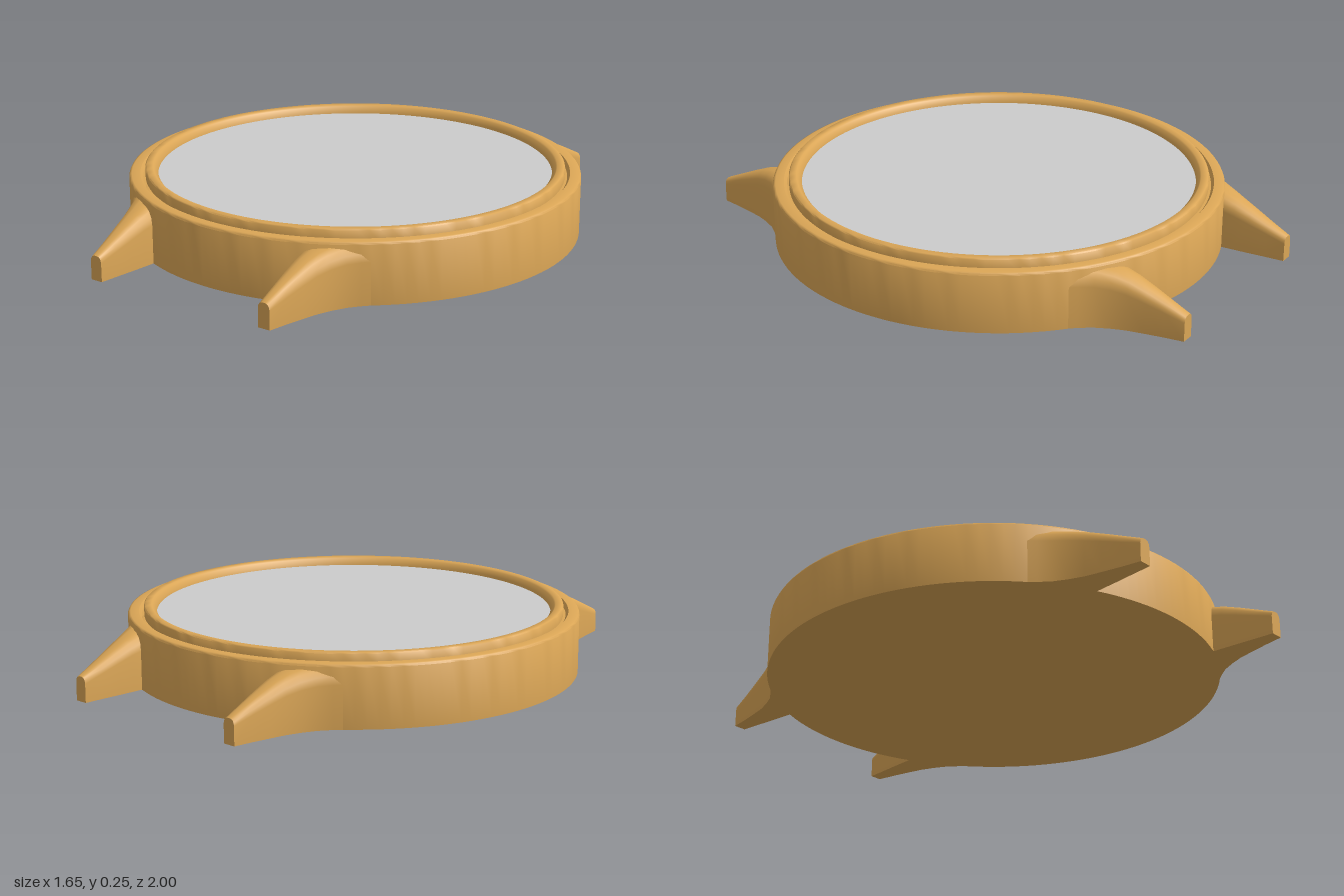
import * as THREE from 'three';
import { toCreasedNormals } from 'three/addons/utils/BufferGeometryUtils.js';

const gold = new THREE.MeshStandardMaterial({ color: 0xdba656 });
const grey = new THREE.MeshStandardMaterial({ color: 0xcccccc });

function lathe(name, profile) {
  const points = profile.map(([r, y]) => new THREE.Vector2(r, y));
  const geometry = toCreasedNormals(new THREE.LatheGeometry(points, 128), 0.9);
  const mesh = new THREE.Mesh(geometry, gold);
  mesh.name = name;
  return mesh;
}

// Lug stations: z, inner x, outer x, height
const stations = [
  [0.58, 0.36, 0.575, 0.208], [0.62, 0.34, 0.54, 0.208], [0.66, 0.33, 0.503, 0.206],
  [0.70, 0.32, 0.472, 0.203], [0.75, 0.318, 0.447, 0.193], [0.80, 0.322, 0.428, 0.177],
  [0.86, 0.327, 0.414, 0.152], [0.93, 0.334, 0.399, 0.121], [1.00, 0.34, 0.387, 0.09],
];
// Rounded section: fraction from inner to outer side, fraction of height
const section = [
  [1, 0], [1, 0.74], [0.96, 0.87], [0.84, 0.96], [0.65, 1],
  [0.35, 1], [0.16, 0.96], [0.04, 0.87], [0, 0.74], [0, 0],
];

function lug(sx, sz) {
  const n = section.length, last = (stations.length - 1) * n;
  const positions = [], index = [];
  const flip = sx * sz < 0;
  const tri = (a, b, c) => (flip ? index.push(a, c, b) : index.push(a, b, c));
  for (const [z, inner, outer, h] of stations) {
    for (const [u, v] of section) {
      positions.push(sx * (inner + (outer - inner) * u), v * h, sz * z);
    }
  }
  for (let i = 0; i < last; i += n) {
    for (let j = 0; j < n; j++) {
      const a = i + j, b = i + ((j + 1) % n);
      tri(a, b, a + n);
      tri(b, b + n, a + n);
    }
  }
  // End caps
  for (let j = 1; j < n - 1; j++) {
    tri(last, last + j, last + j + 1);
    tri(0, j + 1, j);
  }
  const geometry = new THREE.BufferGeometry();
  geometry.setAttribute('position', new THREE.Float32BufferAttribute(positions, 3));
  geometry.setIndex(index);
  const mesh = new THREE.Mesh(toCreasedNormals(geometry, 0.9), gold);
  mesh.name = (sz > 0 ? 'front' : 'back') + (sx > 0 ? 'Left' : 'Right') + 'Lug';
  return mesh;
}

export function createModel() {
  const model = new THREE.Group();
  model.name = 'watchCase';

  // Round case with a shallow groove beside the bezel
  model.add(lathe('caseBody', [
    [0, 0], [0.825, 0], [0.825, 0.212], [0.822, 0.218], [0.815, 0.221],
    [0.785, 0.221], [0.775, 0.207], [0.74, 0.207],
  ]));

  // Raised bezel with a sloping inner wall
  model.add(lathe('bezel', [
    [0.766, 0.2], [0.766, 0.241], [0.762, 0.245], [0.738, 0.245], [0.733, 0.24],
    [0.72, 0.225], [0.72, 0.2],
  ]));

  // Flat dial disc
  const dial = new THREE.Mesh(new THREE.CircleGeometry(0.725, 128).rotateX(-Math.PI / 2), grey);
  dial.name = 'dial';
  dial.position.y = 0.215;
  model.add(dial);

  // Four tapering strap lugs
  for (const sx of [1, -1]) for (const sz of [1, -1]) model.add(lug(sx, sz));

  return model;
}
